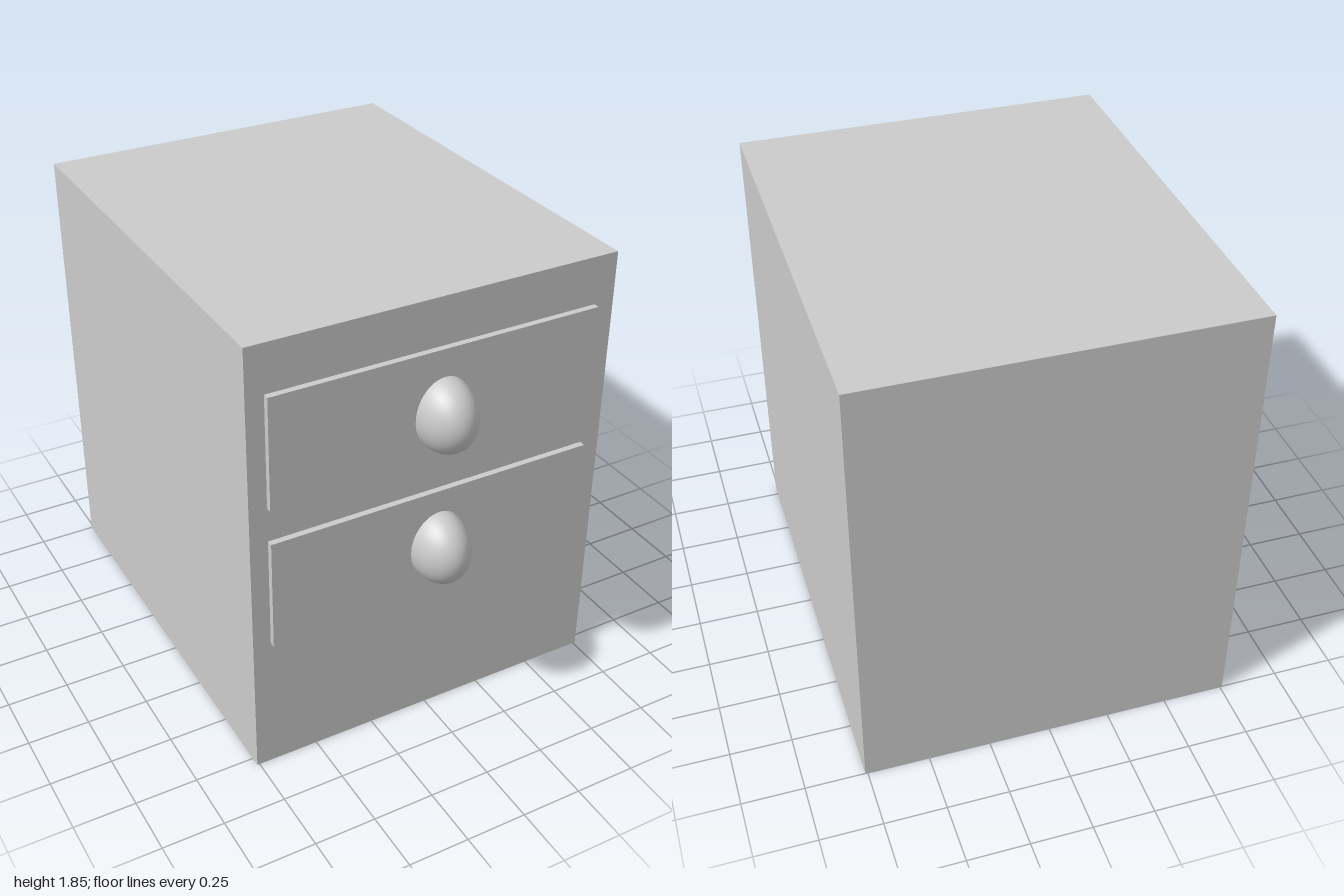
import * as THREE from 'three';

const material = new THREE.MeshStandardMaterial({ color: 0xcccccc });

// Box given by its extents along each axis
function addBox(parent, name, [x0, x1], [y0, y1], [z0, z1]) {
  const mesh = new THREE.Mesh(new THREE.BoxGeometry(x1 - x0, y1 - y0, z1 - z0), material);
  mesh.position.set((x0 + x1) / 2, (y0 + y1) / 2, (z0 + z1) / 2);
  mesh.name = name;
  parent.add(mesh);
}

// Half-ellipsoid knob with a flat back, tipped very slightly
function createKnob() {
  const knob = new THREE.Group();
  const dome = new THREE.Mesh(
    new THREE.SphereGeometry(1, 48, 20, 0, Math.PI * 2, 0, Math.PI / 2).rotateX(Math.PI / 2),
    material
  );
  dome.name = 'knobDome';
  const back = new THREE.Mesh(new THREE.CircleGeometry(1, 48).rotateY(Math.PI), material);
  back.name = 'knobBack';
  for (const part of [dome, back]) part.scale.set(0.115, 0.15, 0.16);
  knob.add(dome, back);
  knob.rotation.x = 0.03;
  return knob;
}

export function createModel() {
  const model = new THREE.Group();
  model.name = 'nightstand';

  // Solid cabinet
  addBox(model, 'cabinet', [-0.76, 0.76], [0, 1.847], [-1, 0.79]);

  // Two drawer fronts, each with a knob
  const drawers = [
    { name: 'lowerDrawer', y: [0.585, 1.048], knobY: 0.828 },
    { name: 'upperDrawer', y: [1.19, 1.651], knobY: 1.408 },
  ];
  for (const { name, y, knobY } of drawers) {
    const drawer = new THREE.Group();
    drawer.name = name;
    addBox(drawer, 'drawerFront', [-0.688, 0.675], y, [0.78, 0.815]);
    const knob = createKnob();
    knob.name = 'knob';
    knob.position.set(-0.005, knobY, 0.84);
    drawer.add(knob);
    model.add(drawer);
  }
  return model;
}
